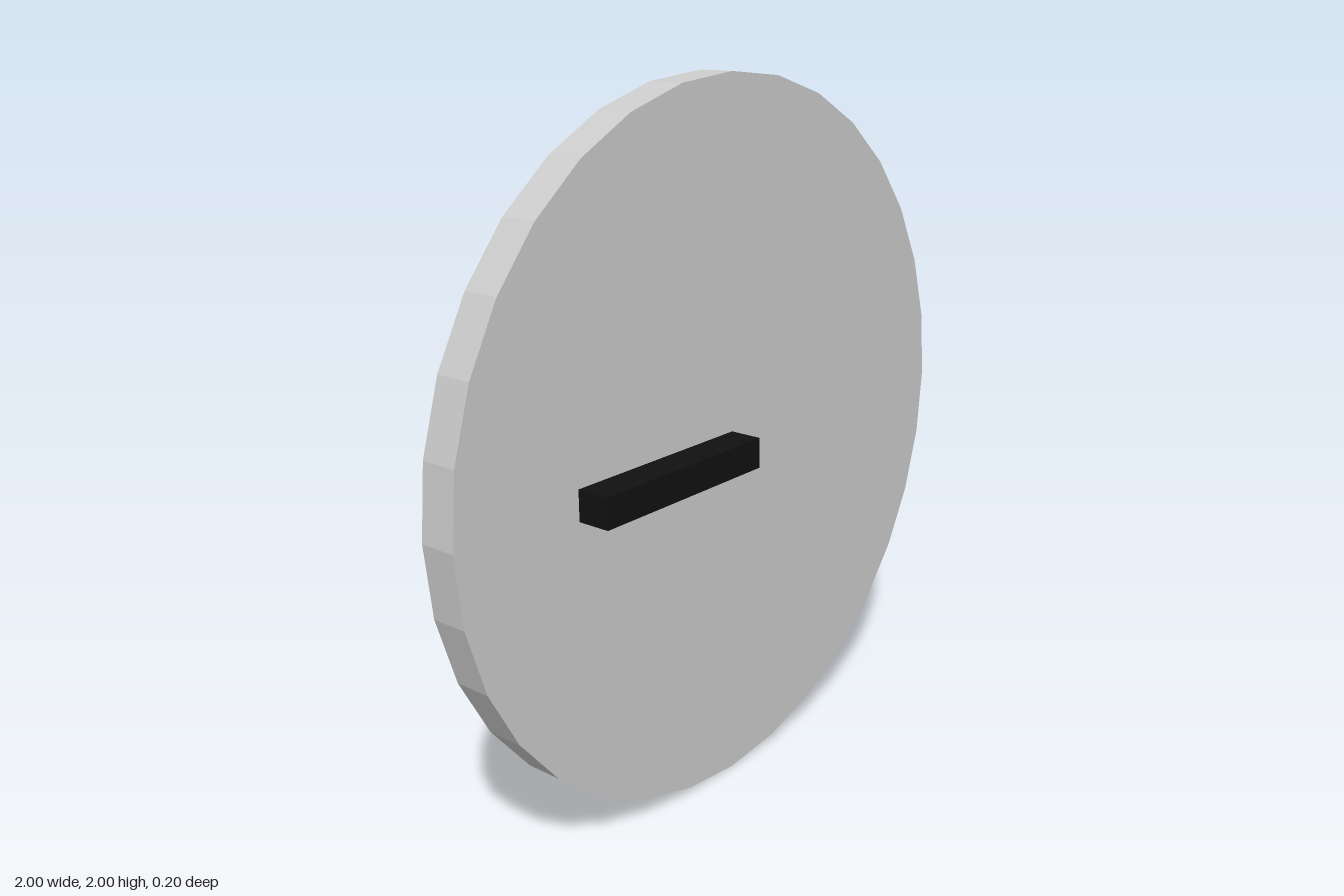
import * as THREE from 'three';

export function createModel() {
  const model = new THREE.Group();
  const grey = new THREE.MeshStandardMaterial({ color: 0xcccccc, flatShading: true });
  const black = new THREE.MeshStandardMaterial({ color: 0x111111, flatShading: true });

  // Upright faceted disc, axis along z
  const back = -0.1, face = 0.005, tip = 0.1;
  const discGeometry = new THREE.CylinderGeometry(1, 1, face - back, 32);
  discGeometry.rotateX(Math.PI / 2);
  const disc = new THREE.Mesh(discGeometry, grey);
  disc.name = 'disc';
  disc.position.set(0, 1, (face + back) / 2);
  model.add(disc);

  // Bar on the front face, running from the centre to the model's right
  const length = 0.6;
  const bar = new THREE.Mesh(new THREE.BoxGeometry(length, 0.085, tip - face), black);
  bar.name = 'pointerBar';
  bar.position.set(-length / 2, 1, (tip + face) / 2);
  model.add(bar);

  return model;
}
